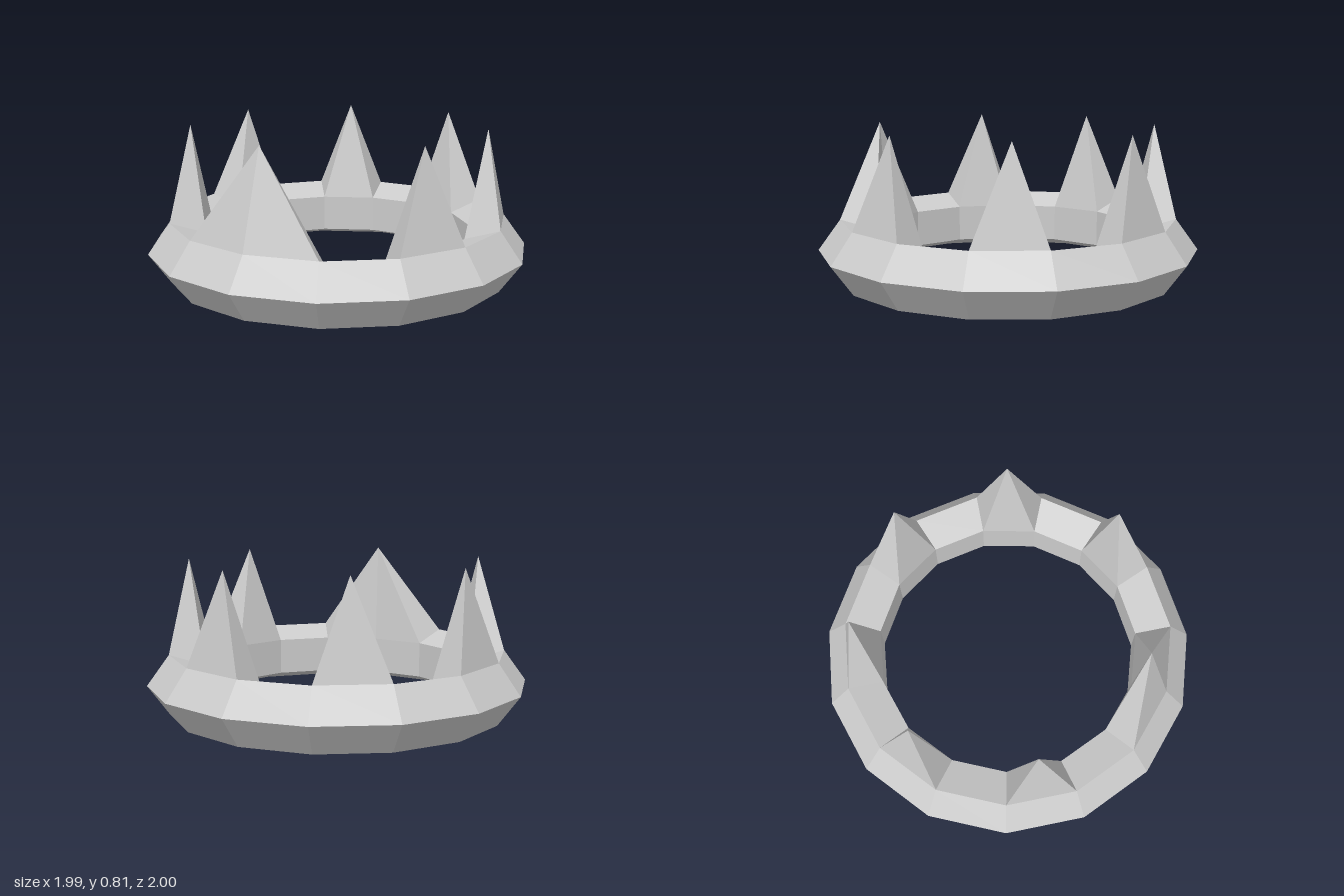
import * as THREE from 'three';

const SIDES = 15;
const STEP = (Math.PI * 2) / SIDES;
const INNER = 0.703, RIM = 0.889, BELT = 1.0055;
const TOP = 0.32, INNER_TOP = 0.26, INNER_BOTTOM = 0.06, TIP = 0.806;

const material = new THREE.MeshStandardMaterial({ color: 0xcccccc, flatShading: true });

// Faceted band: top and bottom slope towards a shorter inner wall, outer side swells to a belt
function createBand() {
  const profile = [
    [INNER, INNER_BOTTOM], [RIM, 0], [BELT, 0.16], [RIM, TOP], [INNER, INNER_TOP], [INNER, INNER_BOTTOM],
  ].map(([r, y]) => new THREE.Vector2(r, y));
  const geometry = new THREE.LatheGeometry(profile, SIDES, Math.PI / 2).toNonIndexed();
  geometry.computeVertexNormals();
  const band = new THREE.Mesh(geometry, material);
  band.name = 'band';
  return band;
}

// Pyramid standing on the sloping top of the band, covering `span` facets from facet `first`
function createSpike(first, span) {
  const corner = (r, y, k) =>
    new THREE.Vector3(r * Math.cos(k * STEP), y, r * Math.sin(k * STEP));
  const base = [];
  for (let k = 0; k <= span; k++) base.push(corner(RIM, TOP, first + k));
  for (let k = span; k >= 0; k--) base.push(corner(INNER, INNER_TOP, first + k));

  // The tip rises over the middle of the base, leaning very slightly to the back left
  const tip = new THREE.Vector3(0.006, 0, -0.009);
  base.forEach((p) => tip.addScaledVector(p, 1 / base.length));
  tip.y = TIP;

  const points = [];
  base.forEach((p, i) => points.push(base[(i + 1) % base.length], p, tip));
  const geometry = new THREE.BufferGeometry().setFromPoints(points);
  geometry.computeVertexNormals();
  return new THREE.Mesh(geometry, material);
}

export function createModel() {
  const crown = new THREE.Group();
  crown.name = 'crown';
  crown.add(createBand());

  // Spikes on every other facet; the one at the front right is two facets wide
  for (const [first, span] of [[0, 1], [2, 1], [4, 2], [7, 1], [9, 1], [11, 1], [13, 1]]) {
    const spike = createSpike(first, span);
    spike.name = span > 1 ? 'wideSpike' : 'spike';
    crown.add(spike);
  }

  // Centre the odd-sided ring on x = 0
  crown.children.forEach((part) => { part.position.x = -0.011; });
  return crown;
}
